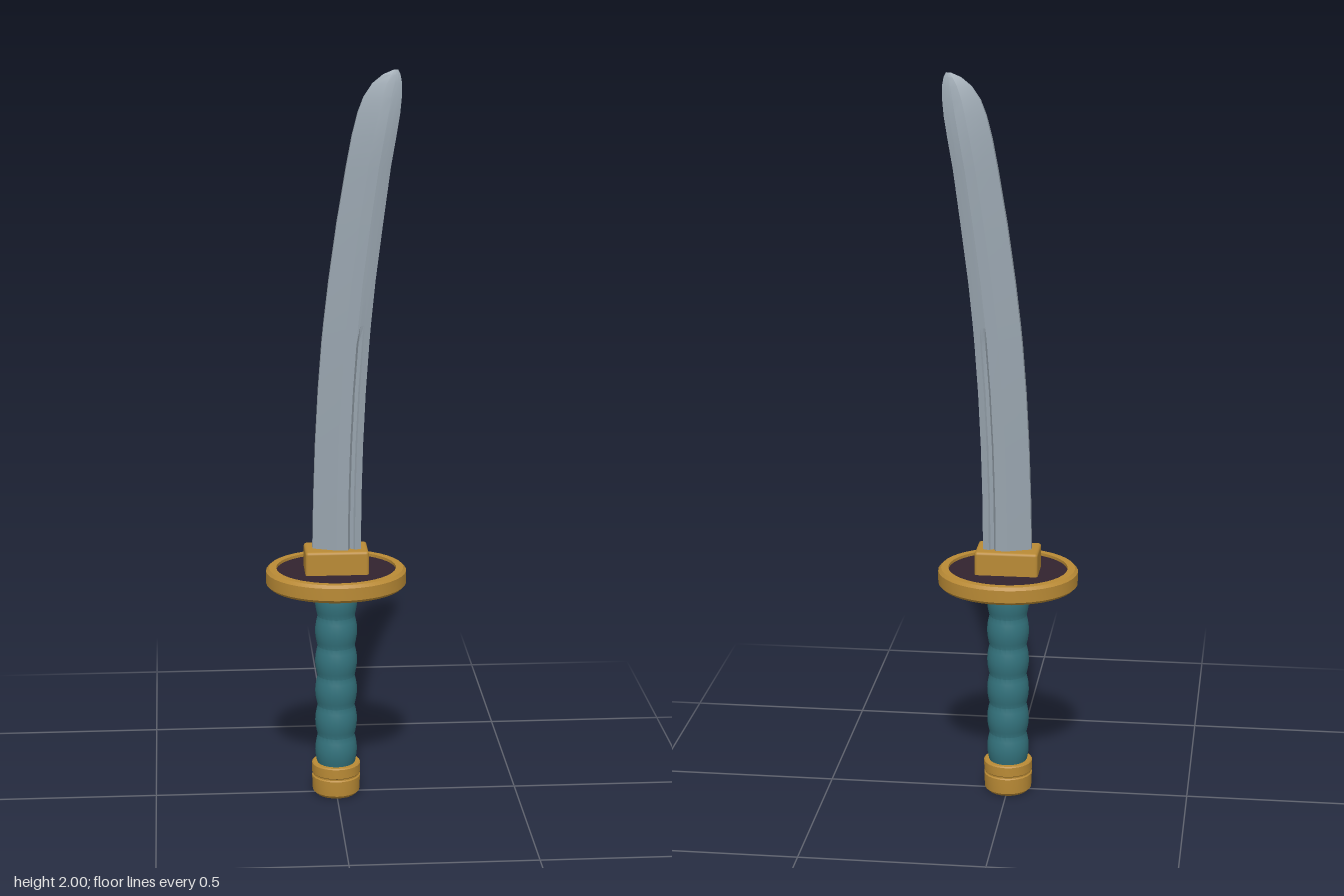
import * as THREE from 'three';
import { toCreasedNormals } from 'three/addons/utils/BufferGeometryUtils.js';
import { RoundedBoxGeometry } from 'three/addons/geometries/RoundedBoxGeometry.js';

function material(name, color) {
  const m = new THREE.MeshStandardMaterial({ color });
  m.name = name;
  return m;
}

// Turned part from [radius, y] points listed bottom to top
function turned(points, segments, crease) {
  const g = new THREE.LatheGeometry(points.map(([r, y]) => new THREE.Vector2(r, y)), segments);
  return toCreasedNormals(g, crease);
}

function bladeGeometry() {
  // Stations: y, cutting edge x, spine x, half thickness, groove depth
  const stations = [
    [0.69, -0.065, 0.066, 0.034, 1], [0.85, -0.062, 0.067, 0.034, 1],
    [1.0, -0.057, 0.071, 0.034, 1], [1.15, -0.049, 0.078, 0.034, 1],
    [1.28, -0.039, 0.087, 0.034, 0.8], [1.33, -0.034, 0.091, 0.034, 0],
    [1.45, -0.02, 0.103, 0.034, 0], [1.6, 0.001, 0.122, 0.034, 0],
    [1.75, 0.026, 0.142, 0.033, 0], [1.83, 0.041, 0.156, 0.031, 0],
    [1.89, 0.056, 0.166, 0.025, 0], [1.93, 0.071, 0.17, 0.019, 0],
    [1.965, 0.094, 0.171, 0.012, 0], [1.988, 0.122, 0.167, 0.006, 0],
    [2.0, 0.15, 0.161, 0.001, 0],
  ];
  // Half section from edge to spine: fraction across, thickness, groove cut
  const half = [[0, 0.3, 0], [0.48, 1, 0], [0.72, 1, 0], [0.77, 0.95, 0.4], [0.84, 0.87, 0.2], [0.87, 0.84, 0], [1, 0.64, 0]];
  const section = [...half.map((p) => [...p, 1]), ...half.slice().reverse().map((p) => [...p, -1])];
  const n = section.length;
  const pos = [];
  const index = [];
  stations.forEach(([y, x0, x1, w, groove], j) => {
    section.forEach(([u, t, cut, side], i) => {
      pos.push(x0 + (x1 - x0) * u, y, side * w * (t - cut * groove));
      if (j === 0) return;
      const a = (j - 1) * n + i;
      const b = (j - 1) * n + ((i + 1) % n);
      index.push(a, b, b + n, a, b + n, a + n);
    });
  });
  const g = new THREE.BufferGeometry();
  g.setAttribute('position', new THREE.Float32BufferAttribute(pos, 3));
  g.setIndex(index);
  return toCreasedNormals(g, 0.2);
}

export function createModel() {
  const model = new THREE.Group();
  model.name = 'sword';
  const steel = material('steel', 0x98a4ae);
  const gold = material('gold', 0xb98a35);
  const teal = material('teal wrap', 0x33727c);
  const plum = material('dark plum', 0x32232f);

  const add = (name, geometry, mat) => {
    const mesh = new THREE.Mesh(geometry, mat);
    mesh.name = name;
    model.add(mesh);
    return mesh;
  };

  add('blade', bladeGeometry(), steel);

  // Collar at the foot of the blade
  add('collar', new RoundedBoxGeometry(0.172, 0.085, 0.104, 2, 0.008), gold).position.y = 0.6685;

  // Oval guard: bevelled rim around a recessed plate
  const oval = 0.17 / 0.191;
  add('guardRim', turned([
    [0.163, 0.612], [0.163, 0.604], [0.183, 0.604], [0.191, 0.612], [0.191, 0.646],
    [0.183, 0.654], [0.163, 0.654], [0.163, 0.612],
  ], 40, 0.6), gold).scale.z = oval;
  add('guardPlate', turned([[0, 0.612], [0.165, 0.612], [0.165, 0.646], [0, 0.646]], 40, 0.6), plum).scale.z = oval;

  // Ring joining grip and guard
  add('gripRing', turned([[0, 0.598], [0.061, 0.598], [0.063, 0.602], [0.063, 0.616], [0, 0.616]], 24, 0.6), gold);

  // Wrapped grip with a row of soft swells
  const grip = [];
  const swells = 6;
  for (let i = 0; i <= swells * 6; i++) {
    const t = i / (swells * 6);
    grip.push([0.051 + 0.007 * Math.abs(Math.sin(t * swells * Math.PI)), 0.085 + 0.518 * t]);
  }
  add('grip', turned(grip, 24, 0.5), teal);

  // Pommel cap with a narrow groove
  add('pommel', turned([
    [0, 0], [0.056, 0], [0.065, 0.009], [0.067, 0.052], [0.064, 0.055], [0.064, 0.059],
    [0.067, 0.062], [0.067, 0.088], [0.064, 0.091], [0, 0.091],
  ], 24, 0.6), gold);

  return model;
}
